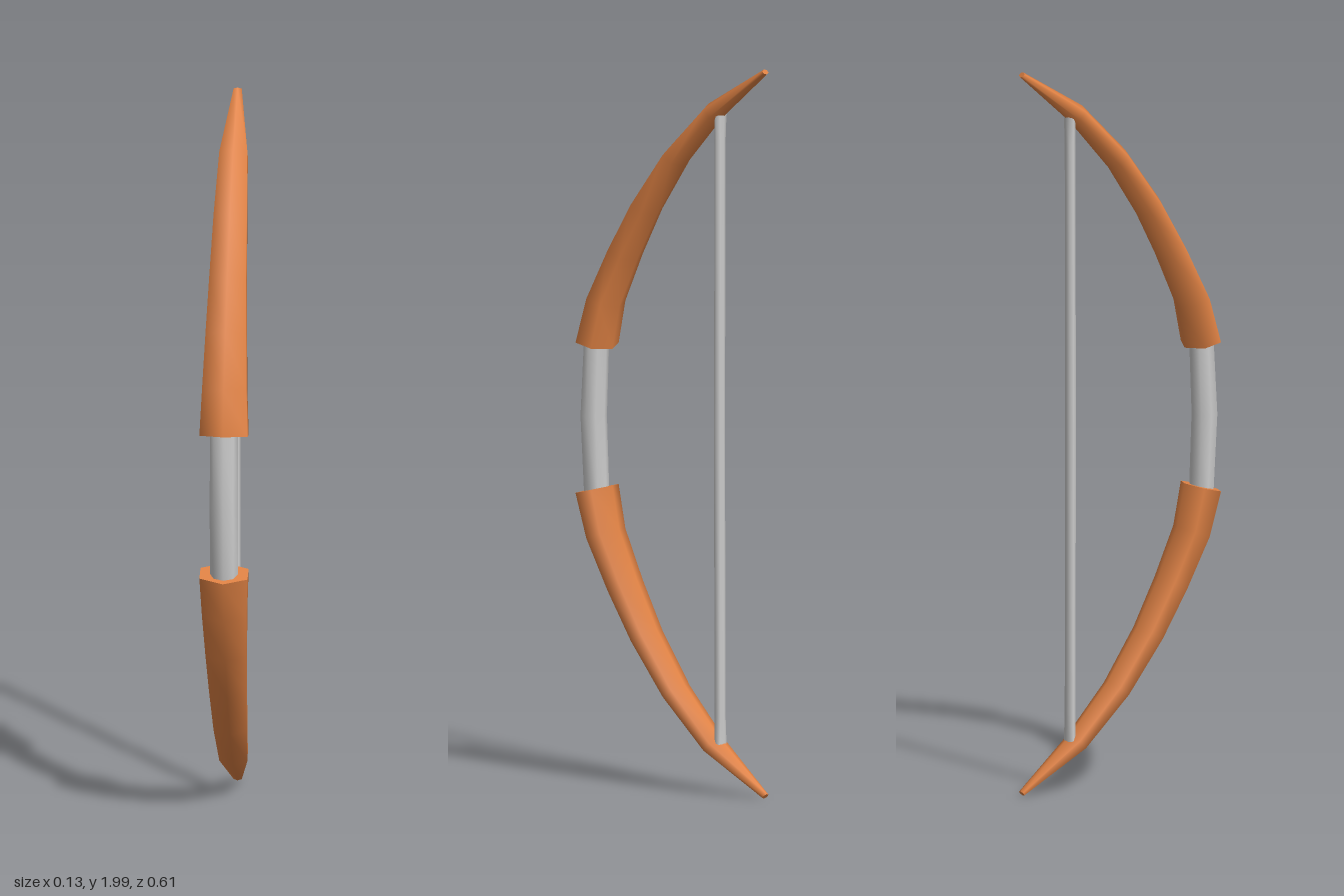
import * as THREE from 'three';

const MID_Y = 1.004;

// Sweeps a polygon up a path in the yz plane. Stations, from low to high: [y, z, halfWidth, halfDepth]
function sweep(stations, sides) {
  const pos = [], index = [], widest = Math.sin((Math.PI * 2 / sides) * Math.round(sides / 4));
  const ring = (k) => {
    const [y, z, w, d] = stations[k];
    const dir = (a, b) => new THREE.Vector2(b[1] - a[1], b[0] - a[0]).normalize();
    const t = new THREE.Vector2();
    if (k > 0) t.add(dir(stations[k - 1], stations[k]));
    if (k < stations.length - 1) t.add(dir(stations[k], stations[k + 1]));
    t.normalize();
    for (let i = 0; i < sides; i++) {
      const a = (i / sides) * Math.PI * 2, f = d * Math.cos(a);
      pos.push((w / widest) * Math.sin(a), y - t.x * f, z + t.y * f);
    }
  };
  stations.forEach((s, k) => ring(k));
  for (let k = 0; k < stations.length - 1; k++) {
    for (let i = 0; i < sides; i++) {
      const j = (i + 1) % sides, a = k * sides, b = a + sides;
      index.push(a + i, a + j, b + i, a + j, b + j, b + i);
    }
  }
  // Flat end caps with their own vertices
  for (const end of [0, stations.length - 1]) {
    const base = pos.length / 3;
    ring(end);
    for (let i = 1; i < sides - 1; i++) {
      if (end === 0) index.push(base, base + i + 1, base + i);
      else index.push(base, base + i, base + i + 1);
    }
  }
  const g = new THREE.BufferGeometry();
  g.setAttribute('position', new THREE.Float32BufferAttribute(pos, 3));
  g.setIndex(index);
  g.computeVertexNormals();
  return g;
}

export function createModel() {
  const group = new THREE.Group();
  const wood = new THREE.MeshStandardMaterial({ color: 0xe08244 });
  const grey = new THREE.MeshStandardMaterial({ color: 0xcccccc });
  const add = (name, stations, sides, material) => {
    const mesh = new THREE.Mesh(sweep(stations, sides), material);
    mesh.name = name;
    group.add(mesh);
  };

  // Curved hexagonal limbs, tapering to the tips
  const limb = [
    [1.203, 0.256, 0.065, 0.052],
    [1.323, 0.227, 0.060, 0.047],
    [1.459, 0.163, 0.055, 0.043],
    [1.590, 0.092, 0.050, 0.039],
    [1.733, -0.006, 0.045, 0.034],
    [1.869, -0.132, 0.038, 0.028],
    [1.993, -0.301, 0.011, 0.008],
  ];
  const mirrored = limb.map(([y, ...rest]) => [2 * MID_Y - y, ...rest]).reverse();
  add('upperLimb', limb, 6, wood);
  add('lowerLimb', mirrored, 6, wood);

  // Slightly bowed grip between the limbs
  add('grip', [
    [0.79, 0.257, 0.038, 0.032],
    [MID_Y, 0.267, 0.038, 0.035],
    [1.22, 0.257, 0.038, 0.032],
  ], 8, grey);

  // Bowstring, a little thicker where it meets the limbs
  add('bowstring', [
    [0.145, -0.152, 0.022, 0.013],
    [0.22, -0.151, 0.018, 0.013],
    [MID_Y, -0.149, 0.017, 0.014],
    [1.79, -0.151, 0.018, 0.013],
    [1.863, -0.152, 0.022, 0.013],
  ], 8, grey);

  return group;
}
